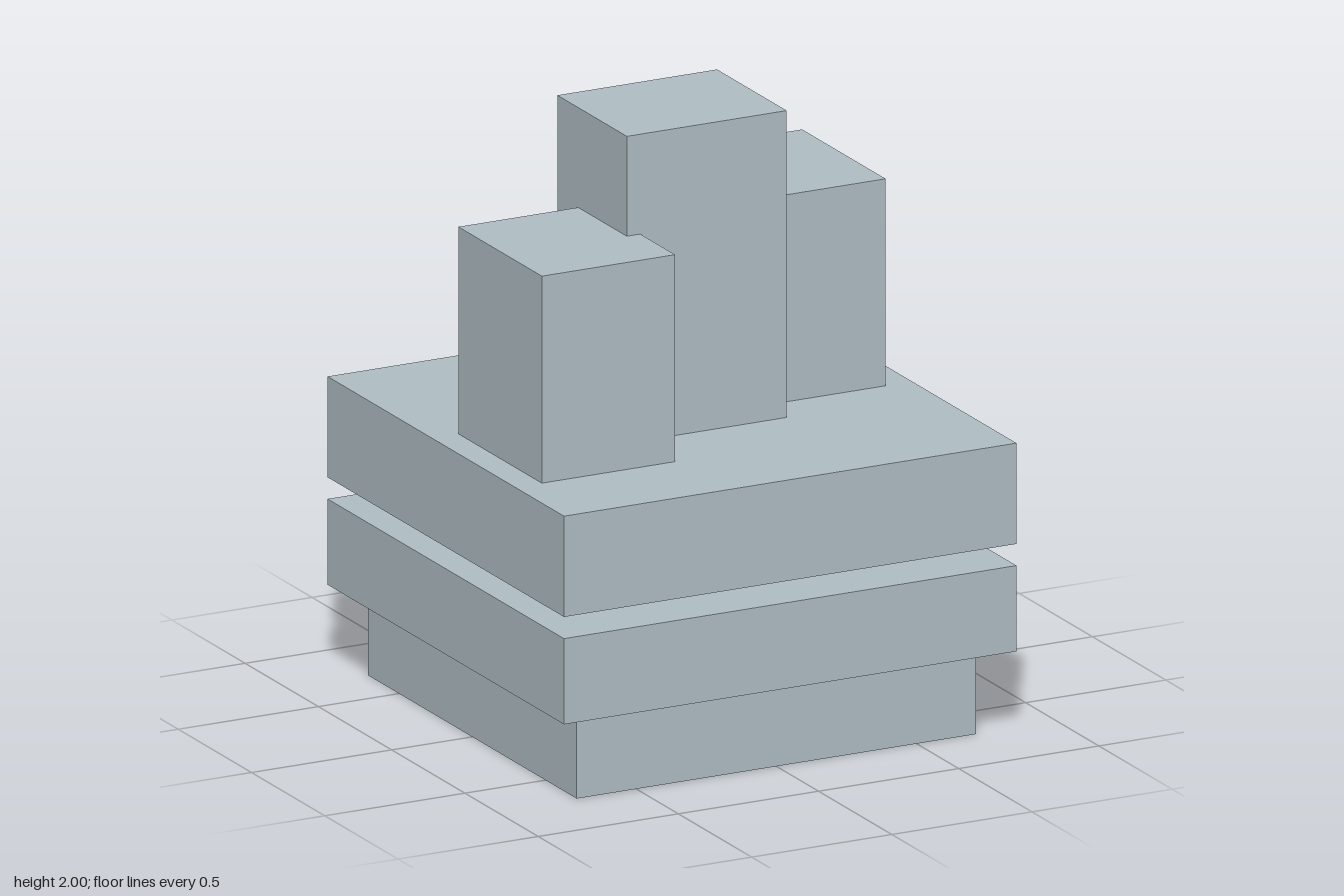
import * as THREE from 'three';

export function createModel() {
  const model = new THREE.Group();
  const paleBlueGrey = new THREE.MeshStandardMaterial({ color: 0xb0bec5 });
  paleBlueGrey.name = 'paleBlueGrey';

  // Box spanning the given width and depth, from y0 up to y1
  function block(name, width, depth, y0, y1, x = 0, z = 0) {
    const mesh = new THREE.Mesh(new THREE.BoxGeometry(width, y1 - y0, depth), paleBlueGrey);
    mesh.name = name;
    mesh.position.set(x, (y0 + y1) / 2, z);
    model.add(mesh);
  }

  // Stacked square slabs, with an open gap below the upper one
  block('base', 1.425, 1.425, 0, 0.288);
  block('lowerSlab', 1.614, 1.614, 0.288, 0.573);
  block('upperSlab', 1.614, 1.614, 0.645, 0.98);

  // Tall central tower and two shorter ones placed diagonally
  block('centralTower', 0.57, 0.475, 0.98, 2);
  for (const side of [1, -1]) {
    block(side > 0 ? 'leftTower' : 'rightTower', 0.475, 0.57, 0.98, 1.668, side * 0.475, side * -0.19);
  }

  return model;
}
